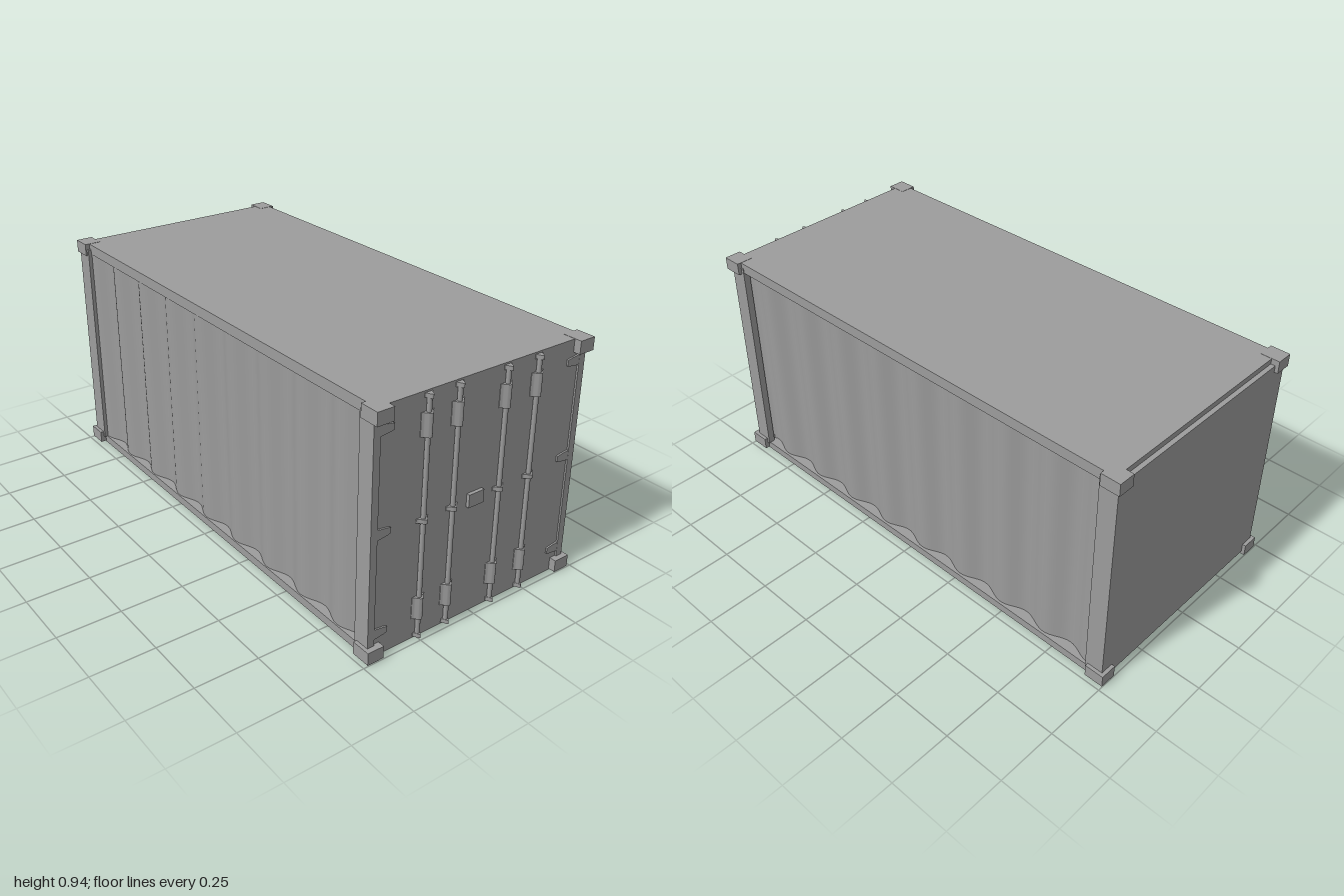
import * as THREE from 'three';
import { toCreasedNormals } from 'three/addons/utils/BufferGeometryUtils.js';

const paint = new THREE.MeshStandardMaterial({ color: 0x9c9c9c });

export function createModel() {
  const model = new THREE.Group();

  const add = (name, geometry) => {
    const mesh = new THREE.Mesh(geometry, paint);
    mesh.name = name;
    model.add(mesh);
    return mesh;
  };
  // box given by its limits on each axis
  const box = (name, x0, x1, y0, y1, z0, z1) => {
    const mesh = add(name, new THREE.BoxGeometry(x1 - x0, y1 - y0, Math.abs(z1 - z0)));
    mesh.position.set((x0 + x1) / 2, (y0 + y1) / 2, (z0 + z1) / 2);
  };
  // upright extrusion of a plan shape drawn in (x, -z)
  const upright = (name, shape, y0, y1) => {
    const geometry = new THREE.ExtrudeGeometry(shape, { depth: y1 - y0, bevelEnabled: false });
    geometry.rotateX(-Math.PI / 2);
    const mesh = add(name, toCreasedNormals(geometry, 0.6));
    mesh.position.y = y0;
    return mesh;
  };

  const FRONT = 0.456, BACK = 0.466; // outer planes of the long sides
  const DOOR = 0.972;

  // Corrugated body: plan outline with a wave along both long sides
  const period = 0.213, depth = 0.031, steps = 136;
  const recess = x => 0.002 + depth * (0.5 - 0.5 * Math.cos((x + 0.91) / period * Math.PI * 2));
  const waveX = i => -0.91 + 1.82 * i / steps;
  const outline = new THREE.Shape();
  outline.moveTo(-0.96, -FRONT + 0.01);
  for (let i = 0; i <= steps; i++) outline.lineTo(waveX(i), -(FRONT - recess(waveX(i))));
  outline.lineTo(DOOR - 0.01, -FRONT + 0.01);
  outline.lineTo(DOOR - 0.01, BACK - 0.02);
  for (let i = steps; i >= 0; i--) outline.lineTo(waveX(i), BACK - 0.01 - recess(waveX(i)));
  outline.lineTo(-0.96, BACK - 0.02);
  upright('corrugatedWalls', outline, 0.015, 0.925);

  // Roof and floor slabs, whose edges are the side rails
  box('roofAndTopRails', -0.968, DOOR, 0.9, 0.942, -BACK, FRONT);
  box('floorAndBottomRails', -0.968, DOOR, 0, 0.033, -BACK + 0.002, FRONT + 0.003);

  // End wall and door panels
  box('endWall', -0.986, -0.955, 0.015, 0.92, -0.46, 0.46);
  box('doorPanel', 0.95, DOOR, 0.005, 0.94, -0.455, 0.455);

  // Corner posts and castings
  for (const side of [1, -1]) {
    const outer = side * 0.469;
    box('doorPost', 0.91, 0.979, 0.03, 0.92, side * 0.441, outer);
    box('endPost', -0.986, -0.91, 0.03, 0.92, side * 0.41, outer);
    for (const [x0, x1] of [[0.922, 1], [-1, -0.922]]) {
      const [inner, top] = side > 0 ? [0.407, 0.475] : [-0.415, -0.483];
      box('topCornerCasting', x0, x1, 0.893, 0.943, inner, top);
      box('bottomCornerCasting', x0, x1, 0.004, 0.053, side * 0.415, side * 0.483);
    }

    // Tapered hinge tabs reaching from the post onto the door
    for (const y of [0.861, 0.487, 0.097]) {
      const points = [[0.45, -0.021], [0.45, 0.021], [0.4, 0.014], [0.386, 0.011], [0.386, -0.011], [0.4, -0.015]]
        .map(([z, dy]) => new THREE.Vector2(-side * z, dy));
      const tab = new THREE.ExtrudeGeometry(new THREE.Shape(points), { depth: 0.015, bevelEnabled: false });
      tab.rotateY(Math.PI / 2);
      add('hingeTab', tab).position.set(0.9635, y, 0);
    }
  }

  // Bell-shaped bracket that wraps a rod and meets the door at both sides
  const bracket = (name, z, halfWidth, y0, y1) => {
    const shape = new THREE.Shape();
    shape.moveTo(0.965, -halfWidth);
    for (let i = 0; i <= 16; i++) {
      const t = i / 8 - 1;
      shape.lineTo(0.974 + 0.022 * (0.5 + 0.5 * Math.cos(t * Math.PI)), t * halfWidth);
    }
    shape.lineTo(0.965, halfWidth);
    upright(name, shape, y0, y1).position.z = z;
  };

  // Locking rods with end keepers, sleeves and a middle guide
  for (const z of [0.248, 0.118, -0.096, -0.24]) {
    const rod = add('lockingRod', new THREE.CylinderGeometry(0.009, 0.009, 0.926, 20));
    rod.position.set(0.979, 0.471, z);
    for (const y of [0.005, 0.919]) bracket('rodKeeper', z, 0.016, y, y + 0.016);
    for (const y of [0.084, 0.783]) bracket('rodSleeve', z, 0.027, y, y + 0.087);
    bracket('rodGuide', z, 0.026, 0.466, 0.482);
  }

  // Lock cover between the doors
  box('lockCover', 0.965, 0.985, 0.447, 0.498, -0.019, 0.049);

  return model;
}
